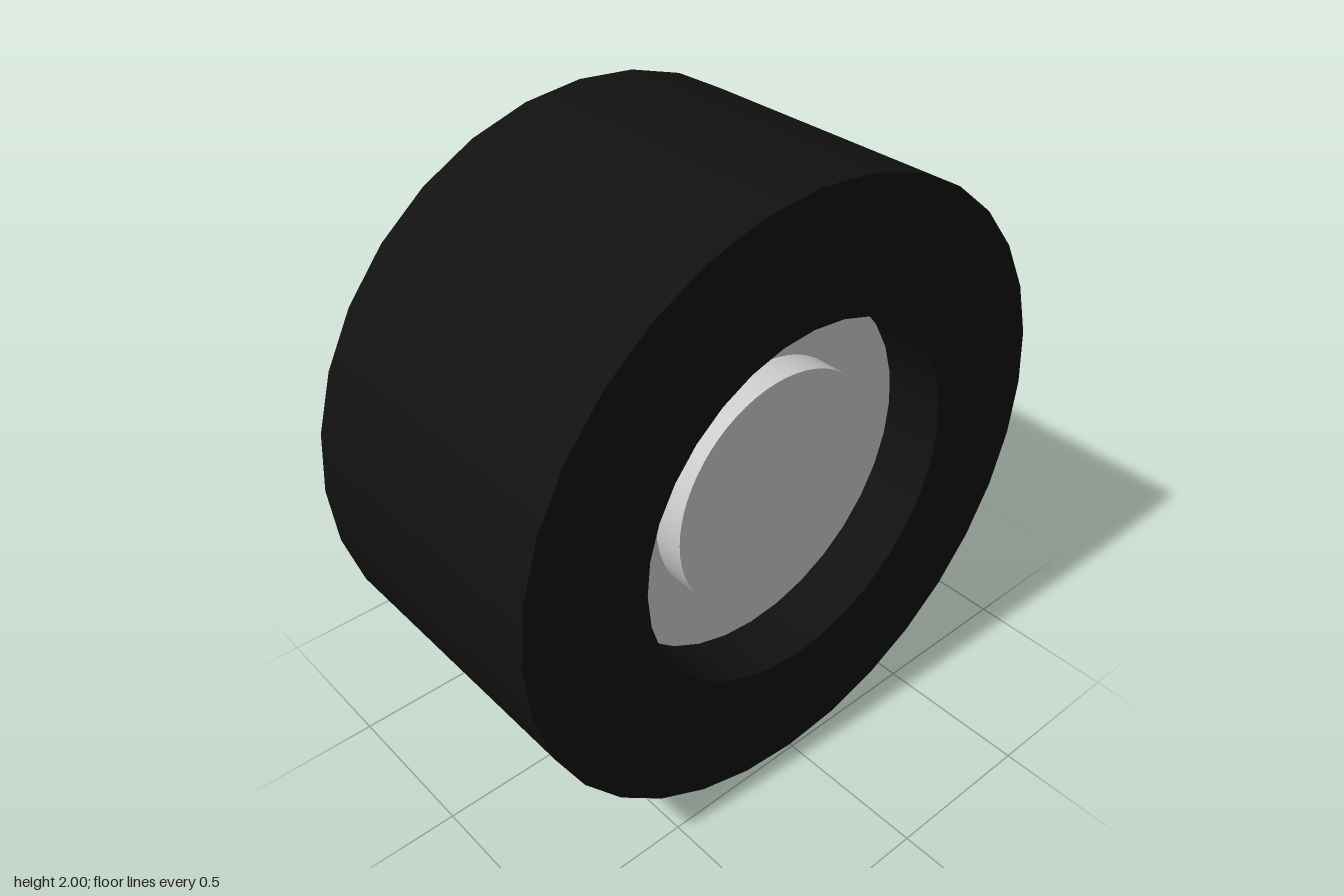
import * as THREE from 'three';
import { mergeGeometries } from 'three/addons/utils/BufferGeometryUtils.js';

const R = 1, BORE = 0.59, HALF_WIDTH = 0.49, SIDES = 32;
const RIM_HALF = 0.29, HUB_HALF = 0.39, HUB_RADIUS = 0.39;

export function createModel() {
  const model = new THREE.Group();
  const black = new THREE.MeshStandardMaterial({ color: 0x111111 });
  const grey = new THREE.MeshStandardMaterial({ color: 0xcccccc });

  // The axle runs along x, halfway up
  const add = (name, geometry, material) => {
    geometry.rotateZ(-Math.PI / 2);
    const mesh = new THREE.Mesh(geometry, material);
    mesh.name = name;
    mesh.position.y = R;
    model.add(mesh);
  };

  // Tyre: square-shouldered ring, each band turned separately for sharp edges
  const profile = [
    [R, -HALF_WIDTH], [R, HALF_WIDTH], [BORE, HALF_WIDTH], [BORE, -HALF_WIDTH],
  ].map(([r, y]) => new THREE.Vector2(r, y));
  const bands = profile.map((p, i) =>
    new THREE.LatheGeometry([p, profile[(i + 1) % profile.length]], SIDES));
  add('tyre', mergeGeometries(bands), black);

  // Recessed rim disc filling the bore
  add('rim', new THREE.CylinderGeometry(BORE, BORE, RIM_HALF * 2, SIDES), grey);

  // Raised round hub cap on each side of the rim
  const depth = HUB_HALF - RIM_HALF;
  for (const side of [1, -1]) {
    const cap = new THREE.CylinderGeometry(HUB_RADIUS, HUB_RADIUS, depth, 64);
    cap.translate(0, side * (RIM_HALF + depth / 2), 0);
    add(side > 0 ? 'leftHubCap' : 'rightHubCap', cap, grey);
  }
  return model;
}
